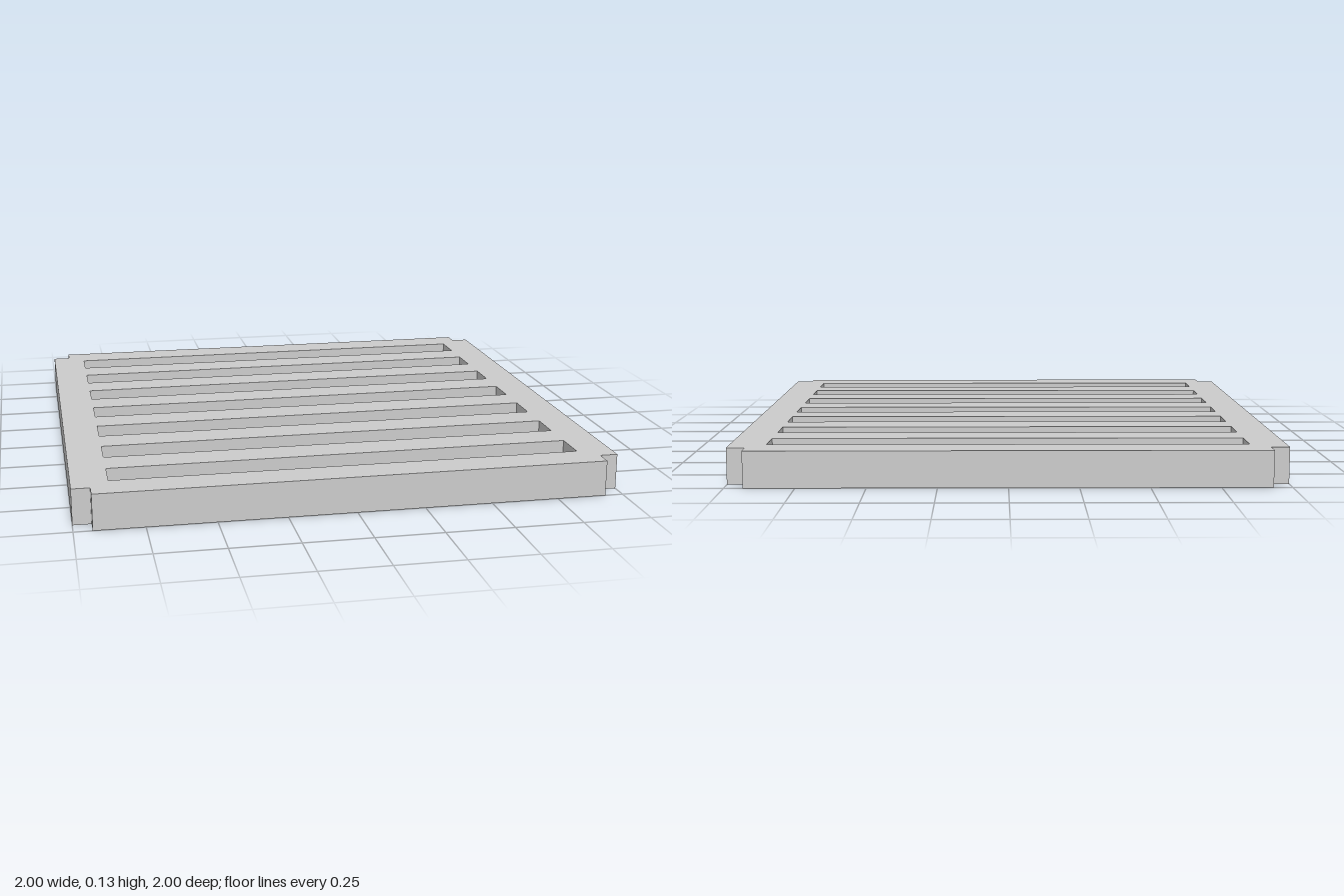
import * as THREE from 'three';
import { mergeGeometries } from 'three/addons/utils/BufferGeometryUtils.js';

const HEIGHT = 0.133;
const FLOOR = 0.067;     // height of the slot floors
const NOTCH = 0.067;     // square cut at each corner
const SLOTS = 7, PITCH = 0.2667, SLOT_X = 0.867, SLOT_HALF = 0.067;

// Flat face at height z, facing up
function face(points, z, holes = []) {
  const shape = new THREE.Shape(points);
  shape.holes = holes.map((h) => new THREE.Path(h));
  return new THREE.ShapeGeometry(shape).toNonIndexed().translate(0, 0, z);
}

// Upright walls along a closed loop, facing to the right of its direction
function walls(points, z0, z1) {
  const pos = [], uv = [];
  points.forEach((a, i) => {
    const b = points[(i + 1) % points.length];
    pos.push(a.x, a.y, z0, b.x, b.y, z0, b.x, b.y, z1);
    pos.push(a.x, a.y, z0, b.x, b.y, z1, a.x, a.y, z1);
    uv.push(0, 0, 1, 0, 1, 1, 0, 0, 1, 1, 0, 1);
  });
  const g = new THREE.BufferGeometry();
  g.setAttribute('position', new THREE.Float32BufferAttribute(pos, 3));
  g.setAttribute('uv', new THREE.Float32BufferAttribute(uv, 2));
  g.computeVertexNormals();
  return g;
}

export function createModel() {
  const group = new THREE.Group();
  group.name = 'slottedPlate';
  const material = new THREE.MeshStandardMaterial({ color: 0xcccccc });
  const add = (name, parts) => {
    const mesh = new THREE.Mesh(mergeGeometries(parts).rotateX(-Math.PI / 2), material);
    mesh.name = name;
    group.add(mesh);
  };

  // Square outline with notched corners, counter-clockwise
  const n = 1 - NOTCH;
  const outline = [
    [n, -1], [n, -n], [1, -n], [1, n], [n, n], [n, 1],
    [-n, 1], [-n, n], [-1, n], [-1, -n], [-n, -n], [-n, -1],
  ].map(([x, y]) => new THREE.Vector2(x, y));

  // Slot rectangles, clockwise so their walls face inward
  const slots = Array.from({ length: SLOTS }, (_, i) => {
    const c = (i - (SLOTS - 1) / 2) * PITCH;
    return [
      [-SLOT_X, c - SLOT_HALF], [-SLOT_X, c + SLOT_HALF],
      [SLOT_X, c + SLOT_HALF], [SLOT_X, c - SLOT_HALF],
    ].map(([x, y]) => new THREE.Vector2(x, y));
  });

  // Plate body: top with openings, rim and closed underside
  add('plateBody', [
    face(outline, HEIGHT, slots),
    walls(outline, 0, HEIGHT),
    face(outline, 0).rotateX(Math.PI),
  ]);

  // Blind slots: side walls and floor
  slots.forEach((slot, i) => {
    add(`slot${i + 1}`, [walls(slot, FLOOR, HEIGHT), face(slot, FLOOR)]);
  });
  return group;
}
